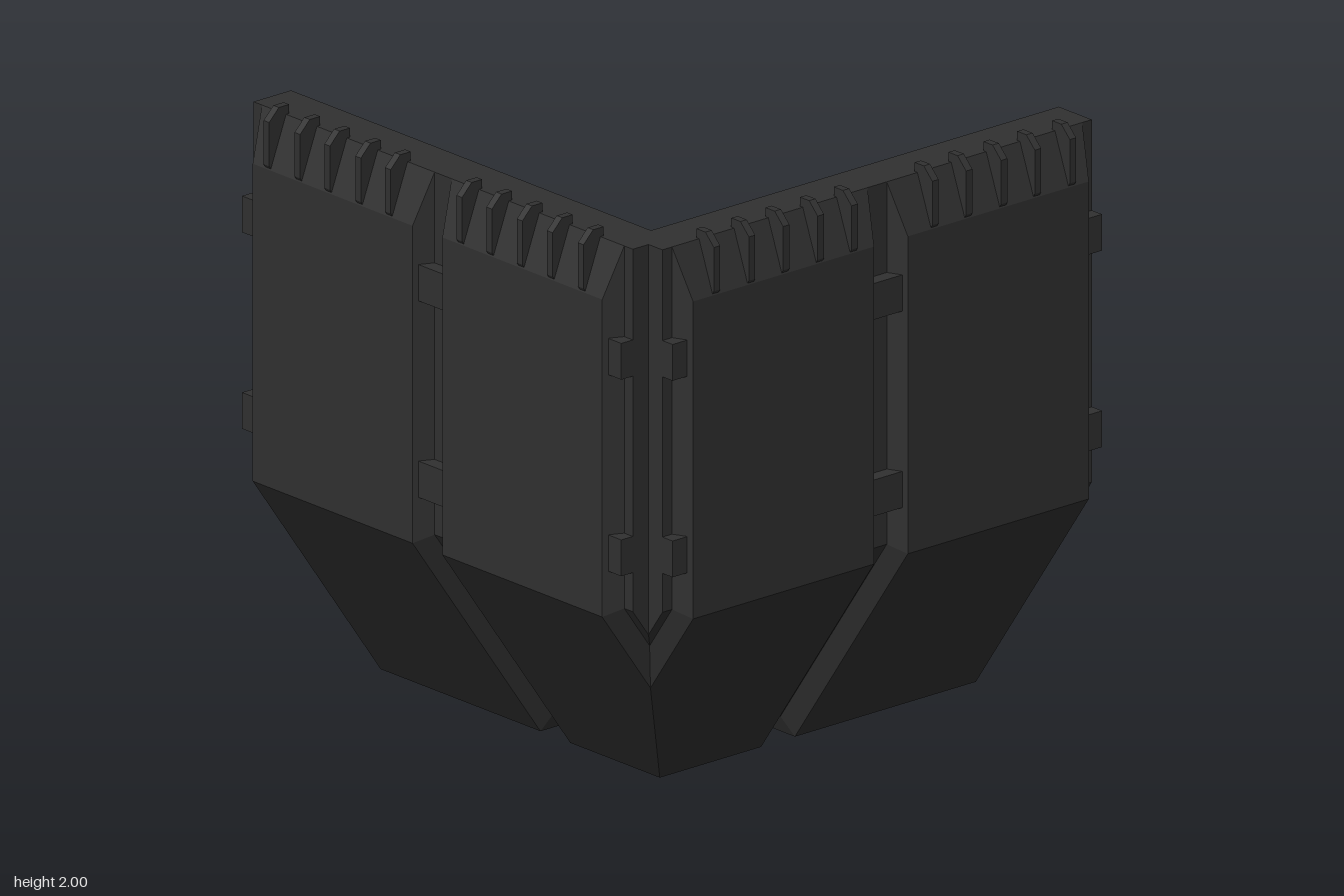
import * as THREE from 'three';

const metal = new THREE.MeshStandardMaterial({ color: 0x303030 });
metal.name = 'charcoal';

// Lofts quad rings down a wall section. Each row is [outer u, outer y, back u, back y];
// the wall runs along t, from lo to hi, and is mitred at the diagonal t = u.
// lo/hi are [outer, back] pairs so that panels can have bevelled sides.
// The second wall is the first with x and z swapped.
function loft(rows, lo, hi, swap, mitre = true) {
  const end = (h, u) => (mitre ? Math.min(h, u) : h);
  const rings = rows.map(([uo, yo, ub, yb]) => [
    [Math.min(lo[0], end(hi[0], uo)), yo, uo], [end(hi[0], uo), yo, uo],
    [end(hi[1], ub), yb, ub], [Math.min(lo[1], end(hi[1], ub)), yb, ub],
  ]);
  const pos = [];
  const tri = (a, b, c) => {
    const [A, B, C] = [a, b, c].map((p) => new THREE.Vector3(...p));
    if (B.clone().sub(A).cross(C.clone().sub(A)).length() < 1e-7) return;
    for (const p of swap ? [a, c, b] : [a, b, c]) {
      if (swap) pos.push(p[2], p[1], p[0]);
      else pos.push(...p);
    }
  };
  const quad = (a, b, c, d) => { tri(a, b, c); tri(a, c, d); };
  for (let i = 0; i < rings.length - 1; i++) {
    for (let j = 0; j < 4; j++) {
      const k = (j + 1) % 4;
      quad(rings[i][j], rings[i + 1][j], rings[i + 1][k], rings[i][k]);
    }
  }
  quad(...rings[0]);
  quad(...rings[rings.length - 1].slice().reverse());
  const g = new THREE.BufferGeometry();
  g.setAttribute('position', new THREE.Float32BufferAttribute(pos, 3));
  g.computeVertexNormals();
  return g;
}

// Panel section: bevelled top, upright face, slope, and underside.
// `m` is where the mitre or the underside diagonal begins.
const top = [0.95, 1.8, 0.885, 1.97];
const knee = [0.95, 0.75, 0.885, 0.771];
const heel = [0.42, 0, 0.386, 0.065];
const cornerPanel = [top, knee, [0.75, 0.467, 0.78, 0.622], heel, [0, 0, -0.03, 0.065]];
const endPanel = [top, knee, heel, [-0.14, 0, -0.11, 0.065], [-0.89, 0, -0.92, 0.065]];

// Wall core with the inner slope, ledge and half of the floor
const core = [
  [0.82, 1.97, 0.73, 1.97], [0.82, 0.679, 0.73, 0.78], [0.386, 0.065, 0.43, 0.375],
  [0.386, 0.065, 0.43, 0.18], [-0.96, 0.065, -0.96, 0.18],
];
const skin = [[0.885, 1.97, 0.82, 1.97], [0.885, 0.771, 0.82, 0.679]];
const gusset = [[0.44, 0.375, 0.43, 0.375], [0.44, 0.18, 0.31, 0.18]];
const rib = [
  [0.915, 2, 0.872, 2], [0.955, 1.96, 0.872, 1.96],
  [0.955, 1.815, 0.872, 1.815], [0.945, 1.8, 0.872, 1.8],
];

function makeWall(name, swap) {
  const wall = new THREE.Group();
  wall.name = name;
  const add = (part, rows, lo, hi, mitre) => {
    const m = new THREE.Mesh(loft(rows, [lo].flat().concat(lo).slice(0, 2),
      [hi].flat().concat(hi).slice(0, 2), swap, mitre), metal);
    m.name = part;
    wall.add(m);
  };
  add('wallAndFloor', core, -0.96, 2);
  add('wallFrame', skin, -0.96, 0.82, false);
  add('endPanel', endPanel, [-0.89, -0.92], [-0.14, -0.11]);
  add('cornerPanel', cornerPanel, [0, -0.03], [0.75, 0.78]);

  // Cooling ribs along the top
  for (const t of [-0.82, -0.675, -0.535, -0.39, -0.25, 0.085, 0.225, 0.368, 0.51, 0.655]) {
    add('topRib', rib, t - 0.013, t + 0.013, false);
  }
  // Clips bridging the grooves
  for (const y of [0.9, 1.55]) {
    for (const [a, b] of [[-0.96, -0.9], [-0.135, -0.01], [0.76, 0.82]]) {
      add('clip', [[0.933, y + 0.12, 0.87, y + 0.12], [0.933, y, 0.87, y]], a, b, false);
    }
  }
  // Braces between ledge and floor
  for (const [a, b] of [[-0.96, -0.845], [-0.41, -0.352], [0.213, 0.27]]) {
    add('floorBrace', gusset, a, b, false);
  }
  return wall;
}

export function createModel() {
  const model = new THREE.Group();
  model.name = 'cornerBasin';
  model.add(makeWall('frontWall', false), makeWall('sideWall', true));

  // Foot under the open corner of the floor
  const foot = new THREE.Mesh(new THREE.BoxGeometry(0.2, 0.07, 0.2), metal);
  foot.name = 'cornerFoot';
  foot.position.set(-0.86, 0.035, -0.86);
  model.add(foot);
  return model;
}
